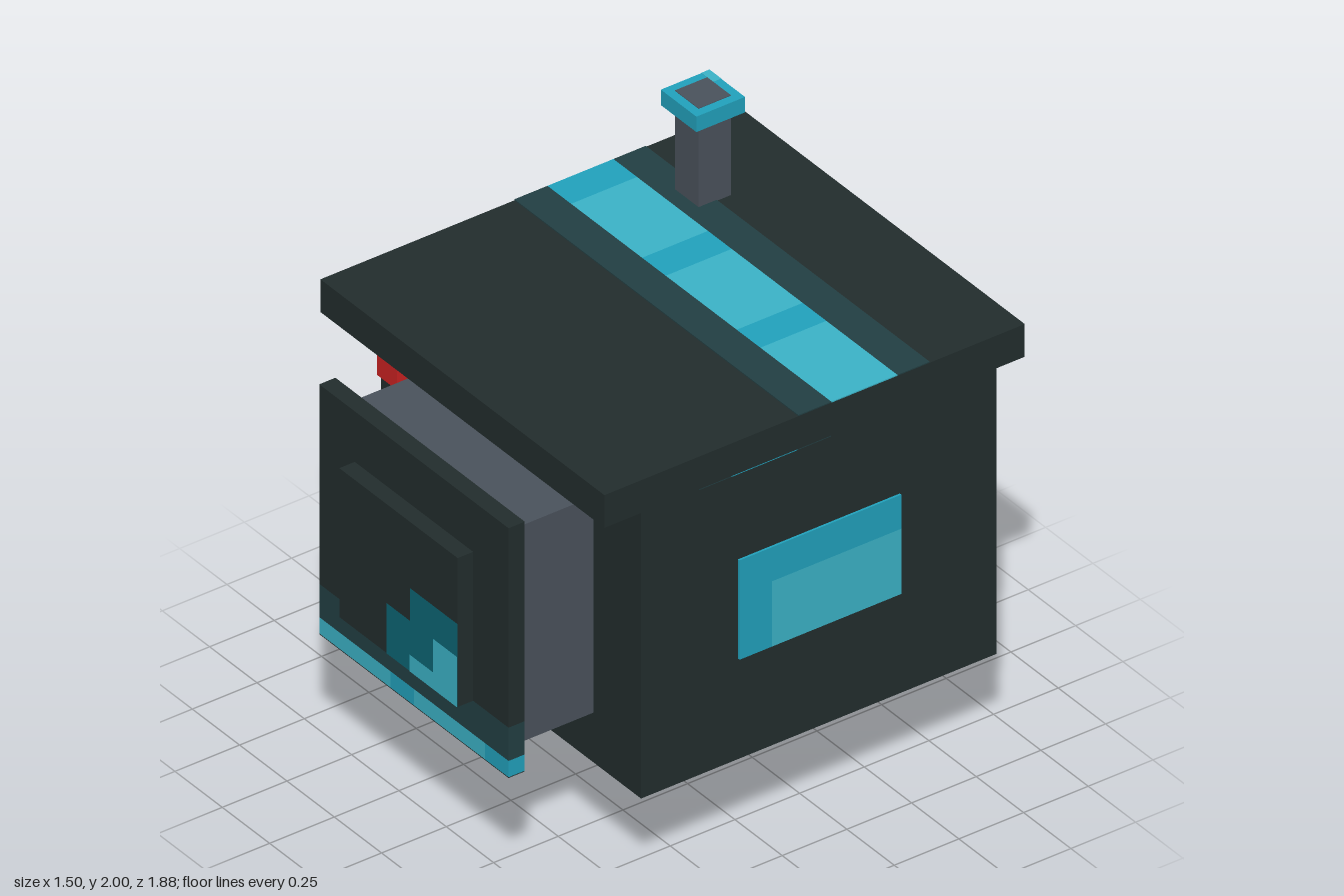
import * as THREE from 'three';

const paint = (name, color) => {
  const m = new THREE.MeshStandardMaterial({ color });
  m.name = name;
  return m;
};

export function createModel() {
  const model = new THREE.Group();
  model.name = 'boxHead';

  const dark = paint('darkShell', 0x232e2e);
  const gray = paint('slateGray', 0x4b535d);
  const red = paint('signalRed', 0xcc2222);
  const cyan = paint('cyan', 0x22a4bf);
  const light = paint('lightCyan', 0x3cb5ca);
  const deep = paint('deepTeal', 0x0d6675);
  const dusk = paint('duskTeal', 0x234044);

  // Box given by its extents on each axis
  const box = (name, mat, [x0, x1], [y0, y1], [z0, z1], parent = model) => {
    const mesh = new THREE.Mesh(new THREE.BoxGeometry(x1 - x0, y1 - y0, z1 - z0), mat);
    mesh.position.set((x0 + x1) / 2, (y0 + y1) / 2, (z0 + z1) / 2);
    mesh.name = name;
    parent.add(mesh);
    return mesh;
  };
  const group = (name) => {
    const g = new THREE.Group();
    g.name = name;
    model.add(g);
    return g;
  };
  const T = 0.004; // thickness of painted plates

  // Neck, body and lid
  box('neck', gray, [-0.1875, 0.1875], [0, 0.378], [-0.25, 0.125]);
  box('body', dark, [-0.6875, 0.6875], [0.378, 1.502], [-0.875, 0.5]);
  box('lid', dark, [-0.75, 0.75], [1.502, 1.625], [-0.9375, 0.6875]);

  // Stripe across the lid, with alternating cyan segments
  const stripe = group('lidStripe');
  const top = [1.625, 1.625 + T];
  const wide = [-0.75, 0.75];
  box('stripeBackEdge', dusk, wide, top, [-0.57, -0.445], stripe);
  box('stripeFrontEdge', dusk, wide, top, [-0.19, -0.0625], stripe);
  [-0.75, -0.625, -0.25, -0.125, 0.25, 0.375, 0.75].forEach((x, i, xs) => {
    if (i < xs.length - 1) {
      box('stripeSegment', i % 2 ? light : cyan, [x, xs[i + 1]], top, [-0.445, -0.19], stripe);
    }
  });
  // Stripe continued under the overhangs
  for (const xs of [[-0.749, -0.6875], [0.6875, 0.749]]) {
    const under = [1.502 - T, 1.502];
    box('underStripeBack', dusk, xs, under, [-0.19, -0.06], stripe);
    box('underStripeMiddle', cyan, xs, under, [-0.06, 0.195], stripe);
    box('underStripeFront', dusk, xs, under, [0.195, 0.32], stripe);
  }

  // Side windows: the right one is the left one turned half round about its centre
  for (const s of [1, -1]) {
    const win = group(s > 0 ? 'leftWindow' : 'rightWindow');
    win.position.set(0, 0, -0.1875);
    win.rotation.y = s > 0 ? 0 : Math.PI;
    const xs = [0.6875, 0.6955];
    box('windowFrameFront', cyan, xs, [0.755, 1.128], [0.1875, 0.3125], win);
    box('windowFrameTop', cyan, xs, [1.0, 1.128], [-0.3125, 0.1875], win);
    box('windowPane', light, xs, [0.755, 1.0], [-0.3125, 0.1875], win);
  }

  // Muzzle block and face plate with its lower trim
  box('muzzle', gray, [-0.4375, 0.4375], [0.566, 1.378], [0.5, 0.8125]);
  const plate = group('facePlate');
  const pz = [0.8125, 0.875];
  box('plateUpper', dark, [-0.5, 0.5], [0.691, 1.44], pz, plate);
  box('plateBand', dusk, [-0.5, 0.5], [0.566, 0.691], pz, plate);
  [-0.5, -0.125, 0, 0.375, 0.5].forEach((x, i, xs) => {
    if (i < xs.length - 1) {
      box('plateTrim', i % 2 ? cyan : light, [x, xs[i + 1]], [0.505, 0.566], pz, plate);
    }
  });
  box('plateUnderside', dark, [-0.5, 0.5], [0.502, 0.505], pz, plate);

  // Raised front panel with a stepped corner mark
  const panel = group('frontPanel');
  box('panelBlock', dark, [-0.3125, 0.3125], [0.691, 1.25], [0.875, 0.9345], panel);
  const steps = (name, mat, points) => {
    const shape = new THREE.Shape(points.map(([x, y]) => new THREE.Vector2(x, y)));
    const mesh = new THREE.Mesh(new THREE.ShapeGeometry(shape), mat);
    mesh.name = name;
    panel.add(mesh);
    return mesh;
  };
  steps('cornerMarkOuter', deep, [[-0.0625, 0.691], [0.3125, 0.691], [0.3125, 1.003],
    [0.0625, 1.003], [0.0625, 0.88], [-0.0625, 0.88]]).position.z = 0.936;
  steps('cornerMarkInner', light, [[0.0625, 0.691], [0.3125, 0.691], [0.3125, 0.88],
    [0.1875, 0.88], [0.1875, 0.754], [0.0625, 0.754]]).position.z = 0.9375;

  // Red signal lamp
  box('lamp', red, [-0.605, -0.5], [1.3, 1.43], [0.5, 0.575]);

  // Antenna with a capped top
  const antenna = group('antenna');
  antenna.position.set(-0.4375, 0, -0.5625);
  box('antennaStem', gray, [-0.0625, 0.0625], [1.62, 1.95], [-0.0625, 0.0625], antenna);
  box('antennaCap', cyan, [-0.094, 0.094], [1.94, 1.998], [-0.094, 0.094], antenna);
  box('antennaCore', gray, [-0.0625, 0.0625], [1.998, 2.0], [-0.0625, 0.0625], antenna);
  box('antennaGlint', light, [-0.094, -0.031], [1.998, 1.9995], [-0.094, -0.0625], antenna);

  return model;
}
